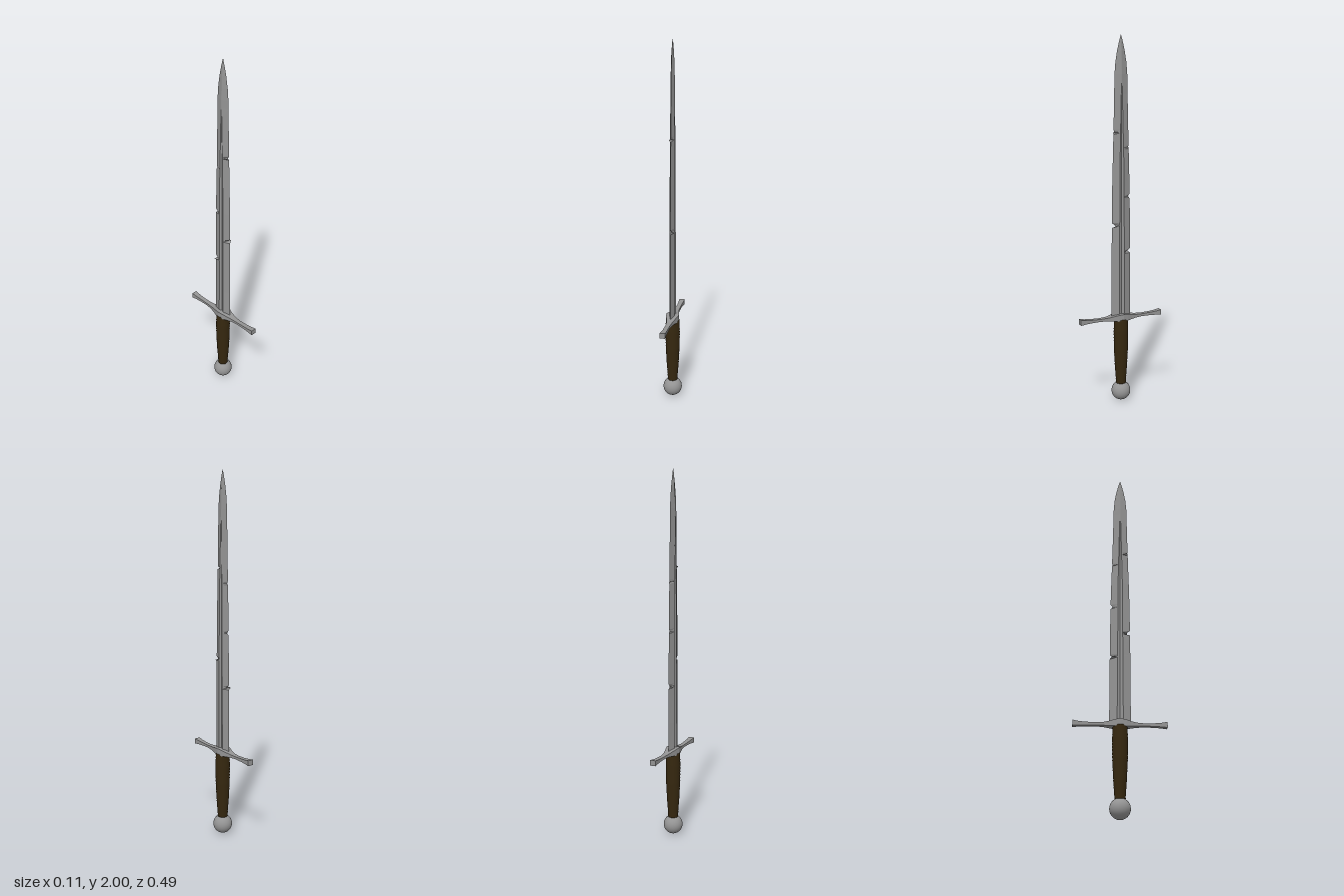
import * as THREE from 'three';

// Skin a list of rings (counter-clockwise seen from the end of the run) and cap both ends
function loft(rings) {
  const n = rings[0].length;
  const index = [];
  for (let i = 0; i < rings.length - 1; i++) {
    for (let j = 0; j < n; j++) {
      const a = i * n + j, b = i * n + (j + 1) % n;
      index.push(a, b, b + n, a, b + n, a + n);
    }
  }
  const last = (rings.length - 1) * n;
  for (let j = 1; j < n - 1; j++) {
    index.push(0, j + 1, j, last, last + j, last + j + 1);
  }
  const indexed = new THREE.BufferGeometry();
  indexed.setAttribute('position', new THREE.Float32BufferAttribute(rings.flat(2), 3));
  indexed.setIndex(index);
  const geometry = indexed.toNonIndexed();
  geometry.computeVertexNormals();
  return geometry;
}

// Linear lookup in a table of [position, value]
function sample(table, t) {
  for (let i = 1; i < table.length; i++) {
    const [t0, v0] = table[i - 1], [t1, v1] = table[i];
    if (t <= t1) return v0 + (v1 - v0) * Math.max(0, (t - t0) / (t1 - t0));
  }
  return table[table.length - 1][1];
}

const EDGE = [[0.48, 0.056], [0.9, 0.055], [1.2, 0.052], [1.4, 0.046], [1.6, 0.041],
  [1.8, 0.037], [1.86, 0.032], [1.92, 0.022], [1.97, 0.01], [2, 0.001]];
const THICK = [[0.48, 0.015], [1.4, 0.013], [1.8, 0.011], [1.93, 0.007], [2, 0.001]];
// Battle damage: height, edge side, depth, sideways burr
const NICKS = [
  { y: 1.0, side: 1, depth: 0.016, burr: 0.02 },
  { y: 1.155, side: -1, depth: 0.011, burr: 0.004 },
  { y: 0.855, side: -1, depth: 0.013, burr: -0.021 },
  { y: 1.5, side: 1, depth: 0.004, burr: -0.011 },
  { y: 1.42, side: -1, depth: 0.003, burr: 0.004 },
];

// Double-edged blade with a tapering fuller and nicked edges
function bladeGeometry() {
  const heights = [0.48, 0.65, 1.3, 1.6, 1.7, 1.76, 1.8, 1.83, 1.86, 1.89, 1.92, 1.95, 1.97, 1.985, 2];
  for (const { y } of NICKS) heights.push(y - 0.014, y - 0.005, y, y + 0.012);
  heights.sort((a, b) => a - b);
  return loft(heights.map((y) => {
    const w = sample(EDGE, y), t = sample(THICK, y);
    const g = Math.min(sample([[0.48, 0.016], [1.3, 0.012], [1.76, 0.002]], y), w * 0.4);
    const d = t * sample([[0.48, 0.55], [1.5, 0.6], [1.76, 1]], y);
    const edge = (side) => {
      let x = 0, z = w;
      for (const nick of NICKS) {
        if (nick.side !== side) continue;
        if (Math.abs(nick.y - y) < 1e-6) z -= nick.depth;
        if (Math.abs(nick.y - 0.005 - y) < 1e-6) { x = nick.burr; z -= nick.depth * 0.8; }
      }
      return [x, y, side * z];
    };
    return [[d, y, 0], [t, y, -g], edge(-1), [-t, y, -g],
      [-d, y, 0], [-t, y, g], edge(1), [t, y, g]];
  }));
}

// Crossguard: waisted arms that flare at the ends and around the grip
function guardGeometry() {
  // [distance from centre, half width, bottom, top]
  const half = [[0, 0.037, 0.464, 0.503], [0.03, 0.031, 0.465, 0.499], [0.055, 0.023, 0.467, 0.493],
    [0.085, 0.016, 0.47, 0.488], [0.125, 0.0125, 0.472, 0.486], [0.18, 0.0125, 0.471, 0.488],
    [0.215, 0.014, 0.469, 0.491], [0.244, 0.016, 0.466, 0.496]];
  const mirrored = half.slice(1).reverse().map(([z, ...rest]) => [-z, ...rest]);
  return loft([...mirrored, ...half].map(([z, w, lo, hi]) =>
    [[w, lo, z], [w, hi, z], [-w, hi, z], [-w, lo, z]]));
}

// Leather grip with shallow wrap ridges
function gripGeometry() {
  const shape = [[0.095, 0.027], [0.13, 0.029], [0.2, 0.034], [0.3, 0.039], [0.4, 0.04], [0.472, 0.038]];
  const profile = [new THREE.Vector2(0, 0.095)];
  const steps = 44;
  for (let i = 0; i <= steps; i++) {
    const y = 0.095 + (0.377 * i) / steps;
    profile.push(new THREE.Vector2(sample(shape, y) + (i % 2 ? 0.0008 : -0.0004), y));
  }
  profile.push(new THREE.Vector2(0, 0.472));
  return new THREE.LatheGeometry(profile, 24);
}

export function createModel() {
  const steel = new THREE.MeshStandardMaterial({ color: 0x949494 });
  steel.name = 'steel';
  const leather = new THREE.MeshStandardMaterial({ color: 0x35270f });
  leather.name = 'dark leather';

  const sword = new THREE.Group();
  sword.name = 'sword';
  const add = (name, geometry, material) => {
    const mesh = new THREE.Mesh(geometry, material);
    mesh.name = name;
    sword.add(mesh);
    return mesh;
  };

  add('blade', bladeGeometry(), steel);
  add('crossguard', guardGeometry(), steel);
  add('grip', gripGeometry(), leather);
  add('pommel', new THREE.SphereGeometry(0.053, 32, 20), steel).position.y = 0.053;
  return sword;
}
